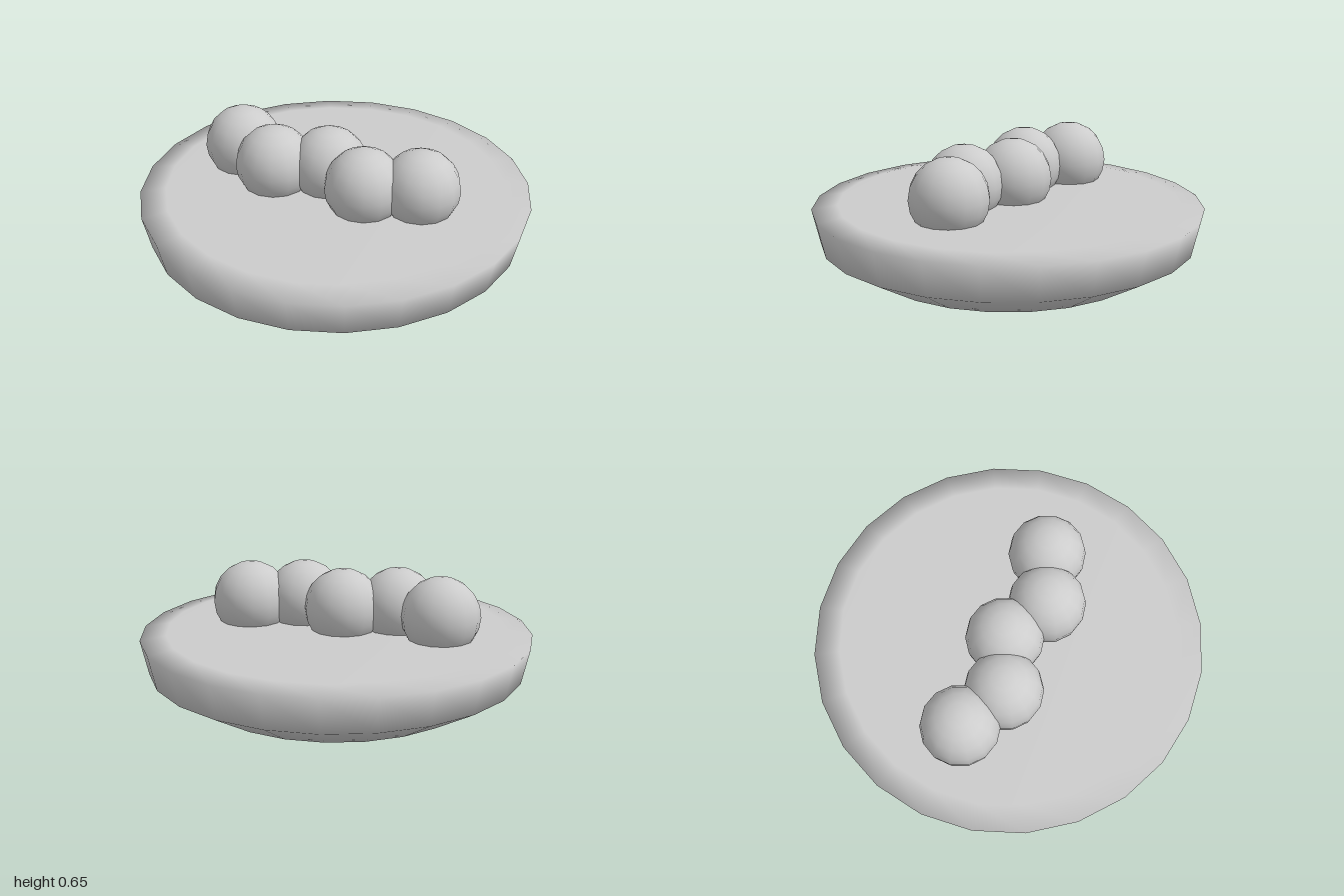
import * as THREE from 'three';

export function createModel() {
  const model = new THREE.Group();
  const grey = new THREE.MeshStandardMaterial({ color: 0xcccccc });
  grey.name = 'pale grey';

  // Thick round plate with a chamfered rim
  const profile = [[0, 0], [0.72, 0], [0.96, 0.14], [1, 0.32], [0.87, 0.34], [0, 0.34]]
    .map(([x, y]) => new THREE.Vector2(x, y));
  const plate = new THREE.Mesh(new THREE.LatheGeometry(profile, 24), grey);
  plate.name = 'plate';
  model.add(plate);

  // Zigzag row of overlapping balls sunk into the plate
  const ballGeometry = new THREE.SphereGeometry(0.2, 14, 10).rotateY(Math.PI / 2);
  for (let i = 0; i < 5; i++) {
    const ball = new THREE.Mesh(ballGeometry, grey);
    ball.name = `ball${i + 1}`;
    ball.position.set(-0.548 + i * 0.255, 0.448, i % 2 ? 0.112 : -0.003);
    model.add(ball);
  }
  return model;
}
